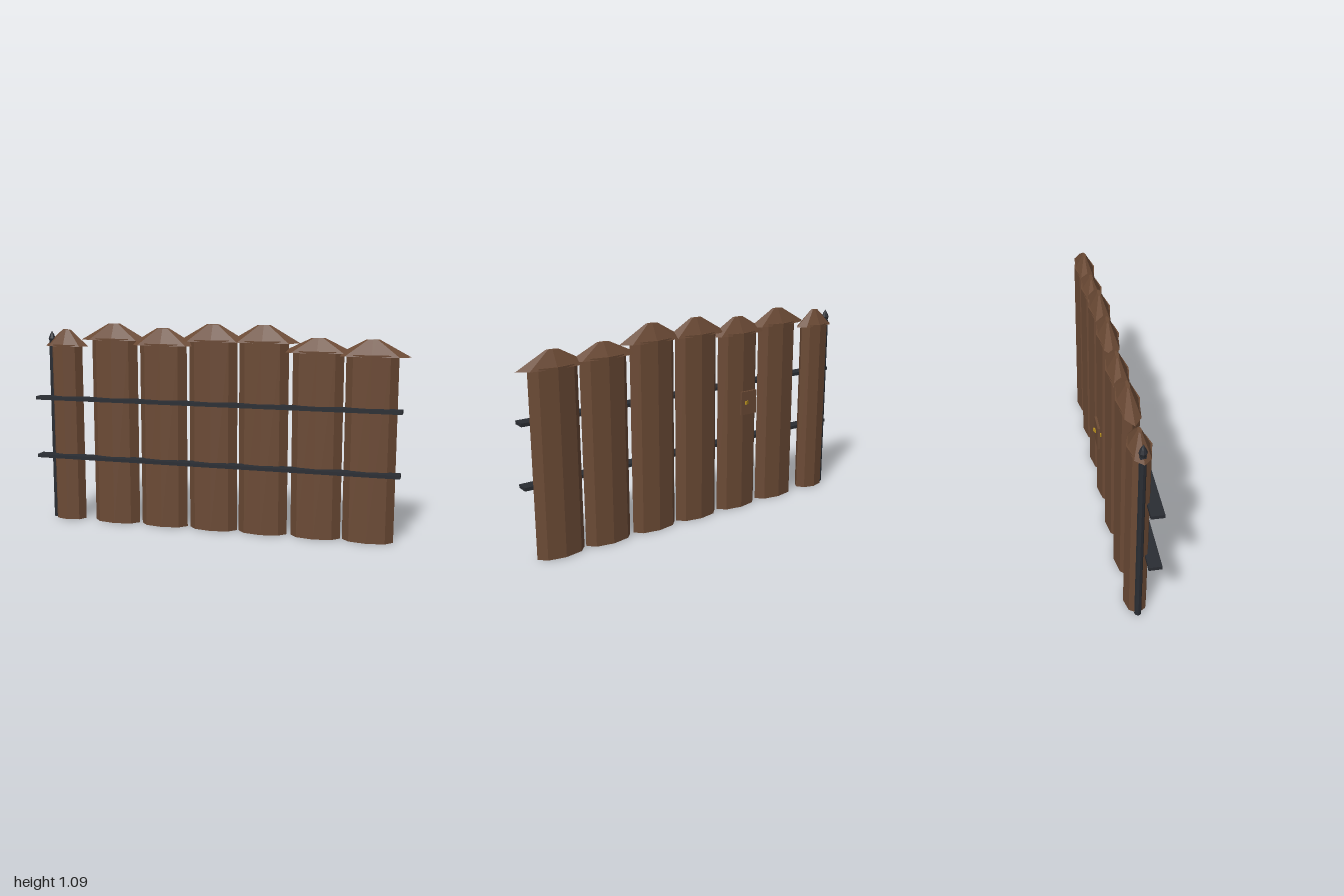
import * as THREE from 'three';

const mat = (color) => new THREE.MeshStandardMaterial({ color, flatShading: true });

export function createModel() {
  const fence = new THREE.Group();
  fence.name = 'palisadeFence';
  const wood = mat(0x6b4a35), iron = mat(0x2a2d33), brass = mat(0xb8901f);

  const add = (name, geometry, material, x, y, z, parent = fence) => {
    const mesh = new THREE.Mesh(geometry, material);
    mesh.name = name;
    mesh.position.set(x, y, z);
    parent.add(mesh);
    return mesh;
  };

  // Flattened eight-sided stakes: centre x, half width, cap half width, eave height, peak height
  const stakes = [
    [-0.85, 0.09, 0.125, 0.96, 1.05],
    [-0.57, 0.13, 0.19, 0.998, 1.085],
    [-0.295, 0.13, 0.19, 0.975, 1.065],
    [-0.02, 0.13, 0.19, 1.0, 1.09],
    [0.25, 0.13, 0.19, 1.0, 1.09],
    [0.53, 0.13, 0.19, 0.955, 1.03],
    [0.80, 0.13, 0.19, 0.943, 1.027],
  ];
  for (const [x, r, capR, eave, peak] of stakes) {
    const stake = new THREE.Group();
    stake.name = 'stake';
    stake.position.set(x, 0, 0.011);
    fence.add(stake);
    const h = eave + 0.01;
    add('stakeBody', new THREE.CylinderGeometry(r, r, h, 8).scale(1, 1, 0.057 / r),
      wood, 0, h / 2, 0, stake);
    add('stakeCap', new THREE.CylinderGeometry(capR * 0.18, capR, peak - eave, 8).scale(1, 1, 0.054 / capR)
      , wood, 0, (eave + peak) / 2, 0, stake);
  }

  // Iron rails across the front
  for (const y of [0.361, 0.681]) {
    add('rail', new THREE.BoxGeometry(1.96, 0.018, 0.064), iron, -0.02, y, 0.072);
  }

  // Iron end post with a spear tip
  add('endPost', new THREE.CylinderGeometry(0.017, 0.017, 0.98, 8), iron, -0.938, 0.49, 0.01);
  const tip = [[0, 0.97], [0.013, 0.975], [0.02, 1.0], [0.012, 1.02], [0, 1.042]]
    .map(([r, y]) => new THREE.Vector2(r, y));
  add('endPostTip', new THREE.LatheGeometry(tip, 8), iron, -0.938, 0, 0.01);

  // Plaque behind the fence with a slanted brass bar
  add('plaque', new THREE.BoxGeometry(0.1, 0.128, 0.012), wood, -0.3, 0.615, -0.085);
  add('plaqueBar', new THREE.BoxGeometry(0.064, 0.018, 0.007), brass, -0.3, 0.618, -0.085)
    .rotation.y = 0.46;

  return fence;
}
